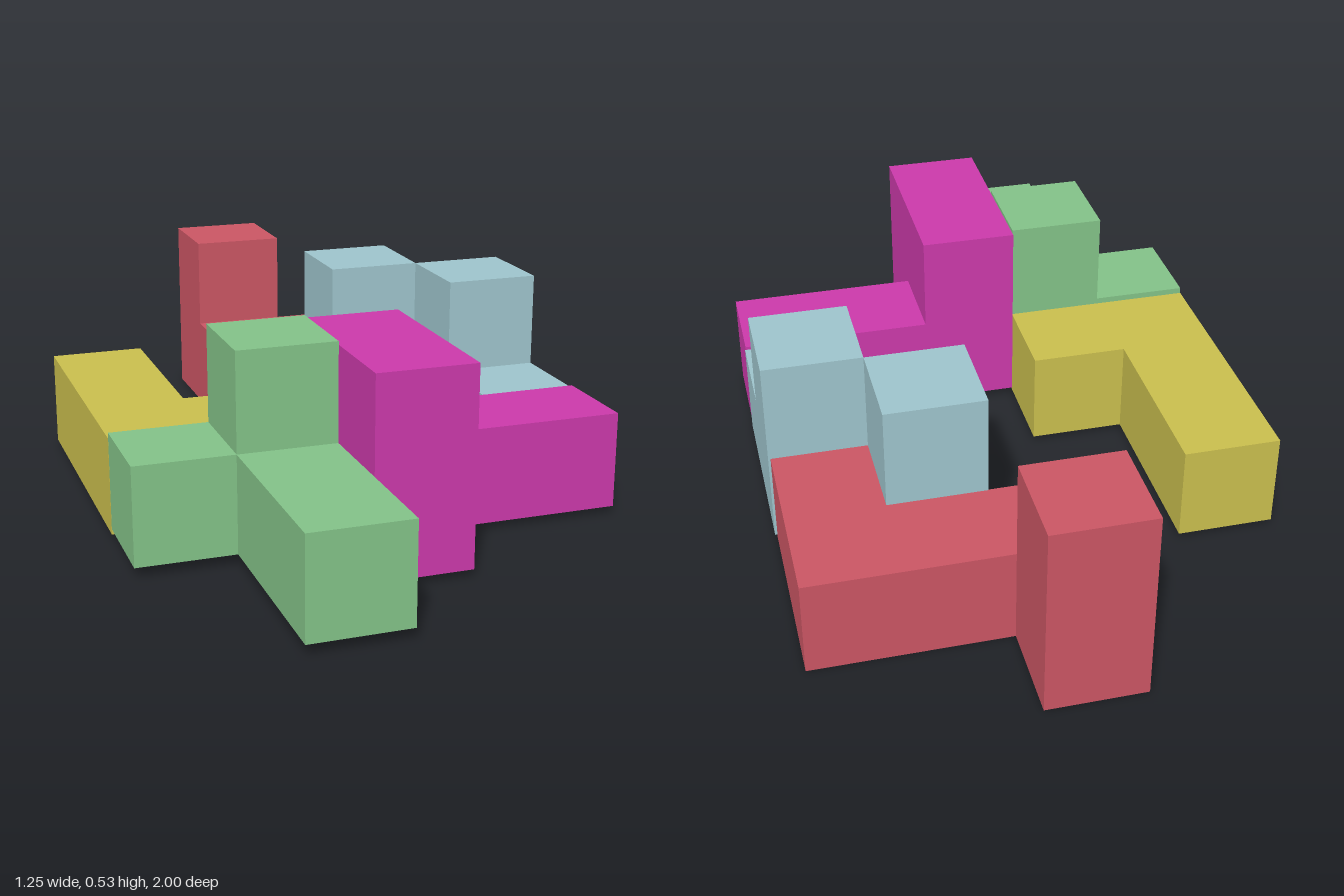
import * as THREE from 'three';

const CELL = 0.249; // edge of one cube of a puzzle piece

// Each piece: min corner, footprint outline in cells (x, z), and cells that rise to two layers
const PIECES = [
  { name: 'redPiece', color: 0xc95563, at: [-0.131, 0, -1],
    outline: [[0, 0], [1, 0], [1, 1], [3, 1], [3, 3], [2, 3], [2, 2], [0, 2]],
    towers: [[0, 0]] },
  { name: 'paleBluePiece', color: 0x9dc3cb, at: [0.124, 0.011, -0.504],
    outline: [[0, 0], [1, 0], [1, 1], [2, 1], [2, 3], [1, 3], [1, 2], [0, 2]],
    towers: [[0, 0], [1, 1]] },
  { name: 'magentaPiece', color: 0xca39a9, at: [-0.127, 0.019, 0.244],
    outline: [[0, 0], [3, 0], [3, 1], [1, 1], [1, 2], [0, 2]],
    towers: [[0, 0], [0, 1]] },
  { name: 'greenPiece', color: 0x82c187, at: [-0.625, 0.028, 0.253],
    outline: [[0, 0], [2, 0], [2, 3], [1, 3], [1, 1], [0, 1]],
    towers: [[1, 0]] },
  { name: 'yellowPiece', color: 0xc8bd4d, at: [-0.625, 0.013, -0.496],
    outline: [[0, 0], [1, 0], [1, 2], [2, 2], [2, 3], [0, 3]],
    towers: [] },
];

function makePiece({ name, color, at, outline, towers }) {
  const piece = new THREE.Group();
  piece.name = name;
  piece.position.set(...at);
  const material = new THREE.MeshStandardMaterial({ color });
  material.name = name.replace('Piece', '');

  // Ground layer: the footprint extruded one cell high
  const shape = new THREE.Shape(outline.map(([x, z]) => new THREE.Vector2(x * CELL, z * CELL)));
  const slab = new THREE.ExtrudeGeometry(shape, { depth: CELL, bevelEnabled: false });
  slab.rotateX(Math.PI / 2).translate(0, CELL, 0);
  const base = new THREE.Mesh(slab, material);
  base.name = 'baseLayer';
  piece.add(base);

  // Upper layer: single cubes
  for (const [x, z] of towers) {
    const cube = new THREE.Mesh(new THREE.BoxGeometry(CELL, CELL, CELL), material);
    cube.name = 'upperCube';
    cube.position.set((x + 0.5) * CELL, 1.5 * CELL, (z + 0.5) * CELL);
    piece.add(cube);
  }
  return piece;
}

export function createModel() {
  const model = new THREE.Group();
  model.name = 'cubePuzzle';
  PIECES.forEach((p) => model.add(makePiece(p)));
  return model;
}
